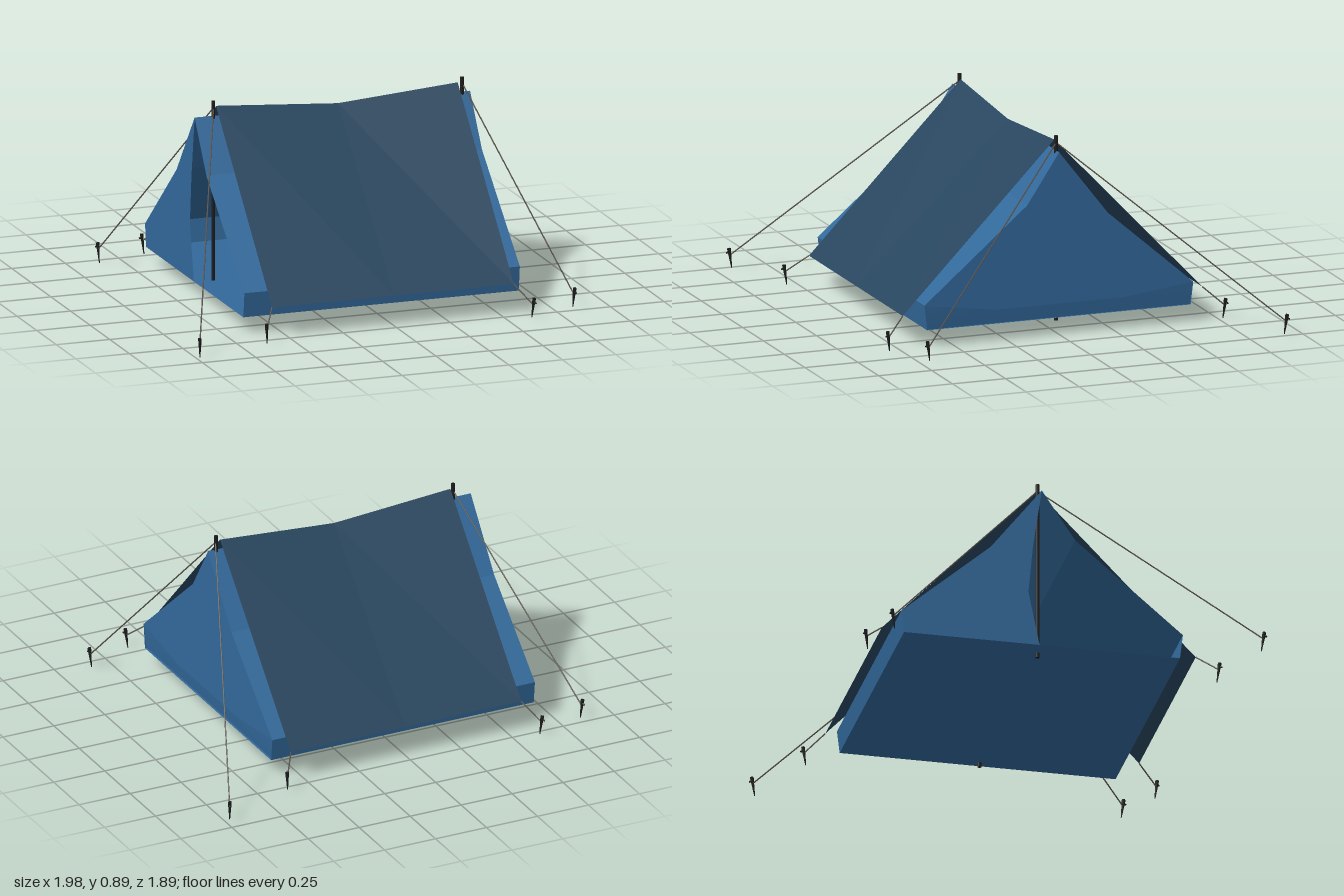
import * as THREE from 'three';

const two = THREE.DoubleSide;
const flyMat = new THREE.MeshStandardMaterial({ color: 0x28465f, side: two });
flyMat.name = 'dark blue flysheet';
const innerMat = new THREE.MeshStandardMaterial({ color: 0x32699b, side: two });
innerMat.name = 'blue inner fabric';
const ropeMat = new THREE.MeshStandardMaterial({ color: 0x5c554e });
ropeMat.name = 'grey rope';
const metalMat = new THREE.MeshStandardMaterial({ color: 0x1c1c1e });
metalMat.name = 'black metal';

// Flat-shaded fabric stretched between cross-sections with equal point counts
function loft(sections) {
  const pos = [];
  for (let i = 0; i + 1 < sections.length; i++) {
    const a = sections[i], b = sections[i + 1];
    for (let j = 0; j + 1 < a.length; j++) {
      pos.push(...a[j], ...a[j + 1], ...b[j], ...b[j], ...a[j + 1], ...b[j + 1]);
    }
  }
  const g = new THREE.BufferGeometry();
  g.setAttribute('position', new THREE.Float32BufferAttribute(pos, 3));
  g.computeVertexNormals();
  return g;
}

// Upright panel facing along x, outlined by (z, y) points; xAt gives x for a height
function panel(points, xAt) {
  const g = new THREE.ShapeGeometry(new THREE.Shape(points.map(p => new THREE.Vector2(...p))));
  const p = g.attributes.position;
  for (let i = 0; i < p.count; i++) {
    const z = p.getX(i), y = p.getY(i);
    p.setXYZ(i, xAt(y), y, z);
  }
  g.computeVertexNormals();
  return g;
}

// Thin round bar between two points
function bar(from, to, rFrom, rTo, sides) {
  const a = new THREE.Vector3(...from), b = new THREE.Vector3(...to);
  const d = b.clone().sub(a);
  const g = new THREE.CylinderGeometry(rTo, rFrom, d.length(), sides);
  g.applyQuaternion(new THREE.Quaternion().setFromUnitVectors(new THREE.Vector3(0, 1, 0), d.normalize()));
  const m = a.add(b).multiplyScalar(0.5);
  return g.translate(m.x, m.y, m.z);
}

export function createModel() {
  const tent = new THREE.Group();
  tent.name = 'ridgeTent';
  const add = (name, geometry, material, parent = tent) => {
    const mesh = new THREE.Mesh(geometry, material);
    mesh.name = name;
    parent.add(mesh);
    return mesh;
  };

  // Flysheet with a ridge that sags in the middle
  const flySections = [[-0.57, 0.87], [0, 0.828], [0.56, 0.87]].map(([x, top]) =>
    [[x, 0.137, 0.715], [x, top, 0], [x, 0.137, -0.697]]);
  add('flysheet', loft(flySections), flyMat);

  // Inner tent: roof, low side walls and floor
  const x0 = -0.67, x1 = 0.618, base = 0.077;
  const roof = [[0.635, 0.19], [0.15, 0.6], [0, 0.826], [-0.23, 0.53], [-0.632, 0.18]];
  const tub = [roof[0], [0.622, base], [-0.62, base], roof[4]];
  const along = pts => [x0, x1].map(x => pts.map(([z, y]) => [x, y, z]));
  add('innerRoof', loft(along(roof)), innerMat);
  add('wallsAndFloor', loft(along(tub)), innerMat);

  // Closed end, with a lower strip leaning slightly inwards
  const seam = [[0.3, 0.14], [-0.3, 0.14]];
  add('closedEnd', panel([...roof, seam[1], seam[0]], () => x1), innerMat);
  add('closedEndStrip', panel([roof[0], ...seam, roof[4], tub[2], tub[1]],
    y => x1 - Math.max(0, 0.14 - y) * 0.15), innerMat);

  // Half-closed door flap at the open end
  add('doorFlap', panel([roof[2], roof[3], roof[4], tub[2], [-0.01, base], [-0.06, 0.33], [-0.04, 0.55]],
    () => x0), innerMat);

  // Upright poles
  for (const x of [-0.583, 0.58]) {
    add('pole', bar([x, 0.055, 0], [x, 0.893, 0], 0.009, 0.009, 8), metalMat);
  }

  // Pegs leaning outwards, each with a small hook, and the rope holding it
  function anchor(name, start, x, z) {
    const g = new THREE.Group();
    g.name = name;
    tent.add(g);
    const out = new THREE.Vector3(x - start[0], 0, z - start[2]).normalize();
    const at = (d, y) => [x + out.x * d, y, z + out.z * d];
    add('rope', bar(start, at(0, 0.06), 0.0032, 0.0032, 5), ropeMat, g);
    add('peg', bar(at(-0.008, 0), at(0.005, 0.09), 0.002, 0.009, 5), metalMat, g);
    add('pegHook', bar(at(0, 0.075), at(0.017, 0.068), 0.006, 0.004, 5), metalMat, g);
  }
  for (const [x, z] of [[-0.985, 0.925], [-0.86, -0.712], [0.975, -0.93], [0.845, 0.705]]) {
    anchor('guyLine', [Math.sign(x) * 0.582, 0.862, 0], x, z);
  }
  for (const sx of [-1, 1]) {
    for (const sz of [-1, 1]) {
      const corner = [sx < 0 ? -0.57 : 0.56, 0.137, sz > 0 ? 0.715 : -0.697];
      anchor('cornerLine', corner, sx < 0 ? -0.628 : 0.618, sz > 0 ? 0.805 : -0.78);
    }
  }
  return tent;
}
